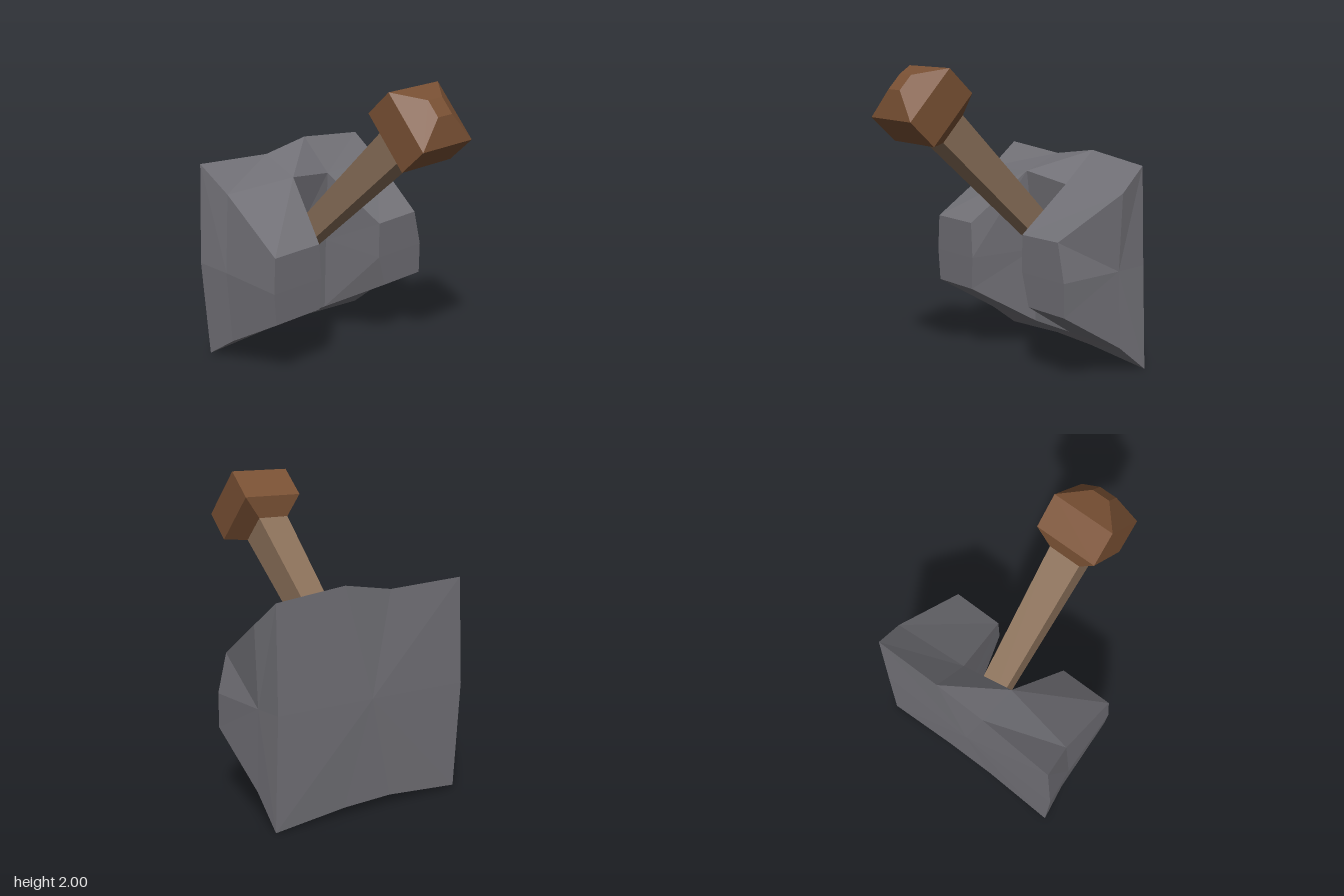
import * as THREE from 'three';

const mat = (name, color, flatShading = true) => {
  const m = new THREE.MeshStandardMaterial({ color, flatShading });
  m.name = name;
  return m;
};

// Grey mount: profiles run from the back bottom edge, round the front, to the back top edge.
function mountGeometry() {
  const outerL = [[-0.765, 0.02, 0.66], [-0.54, 0.18, 0.635], [-0.065, 0.46, 0.635], [-0.06, 0.68, 0.65],
    [-0.06, 0.92, 0.635], [-0.53, 1.225, 0.635], [-0.765, 1.385, 0.67]];
  const innerL = [[-0.75, 0.055, 0.15], [-0.54, 0.18, 0.15], [-0.065, 0.46, 0.27], [-0.06, 0.68, 0.255],
    [-0.06, 0.92, 0.27], [-0.45, 1.255, 0.15], [-0.73, 1.355, 0.15]];
  const innerR = [[-0.75, 0.045, -0.195], [-0.54, 0.18, -0.195], [-0.065, 0.46, -0.33], [-0.06, 0.68, -0.27],
    [-0.06, 0.925, -0.27], [-0.495, 1.2, -0.195], [-0.735, 1.41, -0.195]];
  const outerR = [[-0.76, 0, -0.7], [-0.54, 0.18, -0.685], [-0.065, 0.46, -0.67], [-0.06, 0.68, -0.67],
    [-0.06, 0.93, -0.61], [-0.53, 1.2, -0.695], [-0.725, 1.355, -0.67]];
  // The channel floor shares the block's edges but skips its raised front.
  const floorOf = (p, mid) => [p[0], p[1], p[1], mid, p[5], p[5], p[6]];
  const cols = [outerL, innerL, floorOf(innerL, [-0.52, 0.7, 0.15]),
    floorOf(innerR, [-0.52, 0.7, -0.195]), innerR, outerR];

  const pos = [];
  const tri = (a, b, c) => {
    if (a !== b && b !== c && a !== c) pos.push(...a, ...b, ...c);
  };
  const fan = (centre, ring, flip) => ring.forEach((p, i) => {
    const q = ring[(i + 1) % ring.length];
    if (flip) tri(centre, q, p);
    else tri(centre, p, q);
  });

  // Front, top and bottom skin
  for (let c = 0; c < 5; c++) {
    for (let r = 0; r < 6; r++) {
      const a = cols[c][r], b = cols[c + 1][r], d = cols[c + 1][r + 1], e = cols[c][r + 1];
      tri(a, b, d);
      tri(a, d, e);
    }
  }
  // Slightly bulged ends and the flat back
  const backL = [-0.77, 0.7, 0.7], backR = [-0.75, 0.7, -0.675];
  fan([-0.53, 0.69, 0.67], [...outerL, backL], false);
  fan([-0.53, 0.69, -0.672], [...outerR, backR], true);
  const bottom = [outerL, innerL, innerR, outerR].map((p) => p[0]);
  const top = [outerR, innerR, innerL, outerL].map((p) => p[6]);
  fan([-0.76, 0.7, 0], [backL, ...bottom, backR, ...top], true);

  const g = new THREE.BufferGeometry();
  g.setAttribute('position', new THREE.Float32BufferAttribute(pos, 3));
  g.computeVertexNormals();
  return g;
}

// Square-section solid from [half width, height] pairs
function squareLathe(profile) {
  const pts = profile.map(([w, y]) => new THREE.Vector2(w * Math.SQRT2, y));
  return new THREE.LatheGeometry(pts, 4, Math.PI / 4);
}

export function createModel() {
  const model = new THREE.Group();
  model.name = 'wallLever';
  const add = (parent, name, geometry, material) => {
    const mesh = new THREE.Mesh(geometry, material);
    mesh.name = name;
    parent.add(mesh);
  };

  add(model, 'mount', mountGeometry(), mat('stoneGrey', 0x717076));

  // Handle leaning out of the channel, its origin where the knob meets the shaft
  const handle = new THREE.Group();
  handle.name = 'handle';
  handle.position.set(0.38, 1.62, -0.02);
  handle.rotation.z = -0.818;
  add(handle, 'shaft', squareLathe([[0, -1.34], [0.078, -1.34], [0.11, 0.01]]), mat('paleWood', 0x8a7059));
  add(handle, 'knob', squareLathe([[0, 0], [0.11, 0], [0.21, 0.099], [0.21, 0.329], [0.06, 0.43], [0, 0.43]]),
    mat('darkWood', 0x7a5134));
  model.add(handle);
  return model;
}
